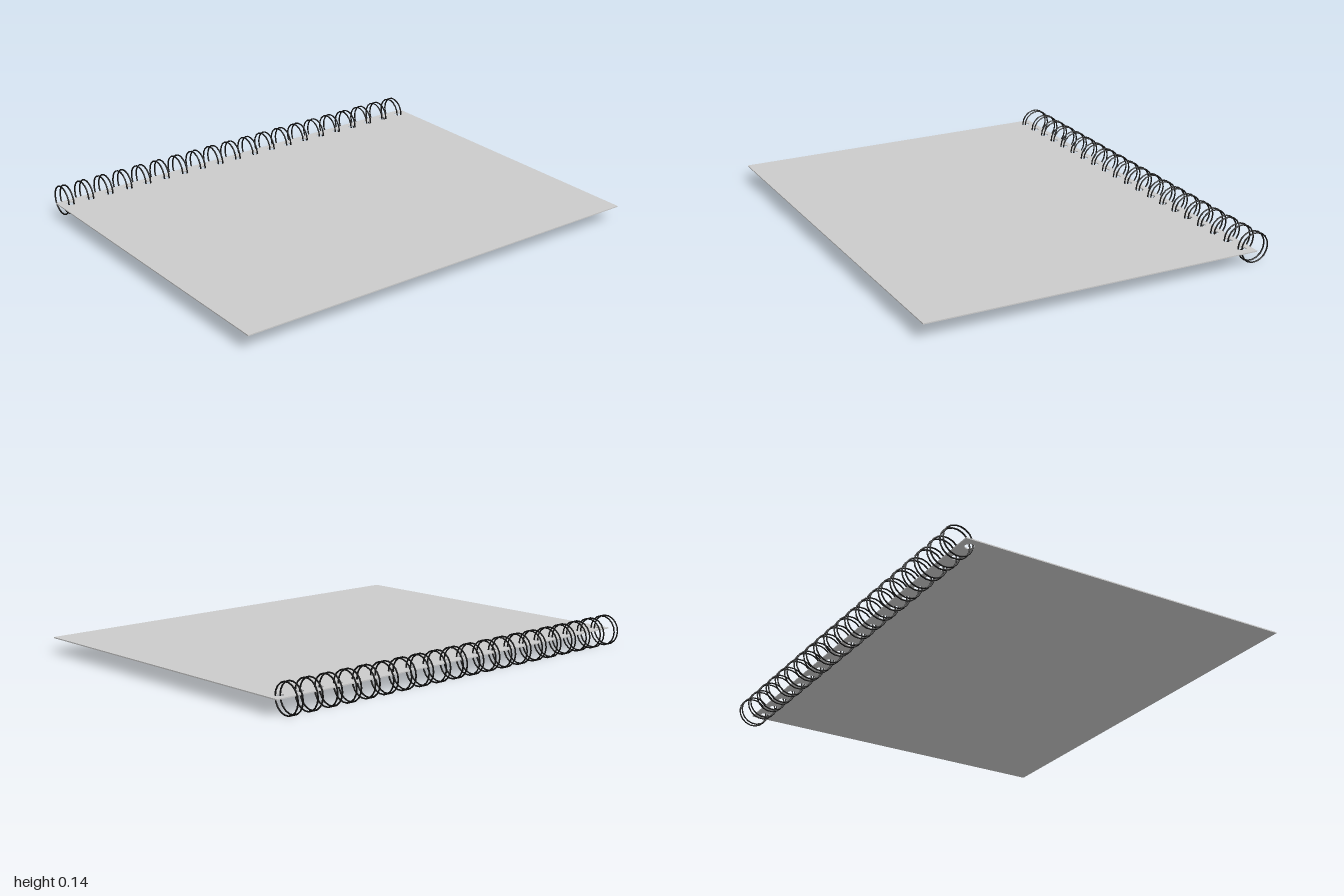
import * as THREE from 'three';

const RING_X = -0.744, MID_Y = 0.07, COUNT = 20, PITCH = 0.1;

export function createModel() {
  const model = new THREE.Group();
  model.name = 'spiralNotebook';
  const paper = new THREE.MeshStandardMaterial({ color: 0xcccccc });
  const wire = new THREE.MeshStandardMaterial({ color: 0x111111 });
  const slots = Array.from({ length: COUNT }, (_, i) => -0.95 + i * PITCH);

  // Thin page block with a row of punched holes along the bound edge
  const outline = new THREE.Shape();
  outline.moveTo(-0.73, -1);
  outline.lineTo(0.812, -1);
  outline.lineTo(0.812, 1);
  outline.lineTo(-0.73, 1);
  outline.closePath();
  for (const z of slots) {
    outline.holes.push(new THREE.Path().absarc(-0.686, -z, 0.02, 0, Math.PI * 2, true));
  }
  const thickness = 0.005;
  const pageGeometry = new THREE.ExtrudeGeometry(outline, {
    depth: thickness, bevelEnabled: false, curveSegments: 8,
  });
  pageGeometry.rotateX(-Math.PI / 2);
  const pages = new THREE.Mesh(pageGeometry, paper);
  pages.name = 'pages';
  pages.position.y = MID_Y - thickness / 2;
  model.add(pages);

  // Double wire rings, one pair through each hole
  const ringGeometry = new THREE.TorusGeometry(0.0665, 0.0035, 6, 18);
  const binding = new THREE.Group();
  binding.name = 'wireBinding';
  for (const z of slots) {
    for (const side of [-1, 1]) {
      const ring = new THREE.Mesh(ringGeometry, wire);
      ring.name = 'bindingRing';
      ring.position.set(RING_X, MID_Y, z + side * 0.0125);
      binding.add(ring);
    }
  }
  model.add(binding);
  return model;
}
